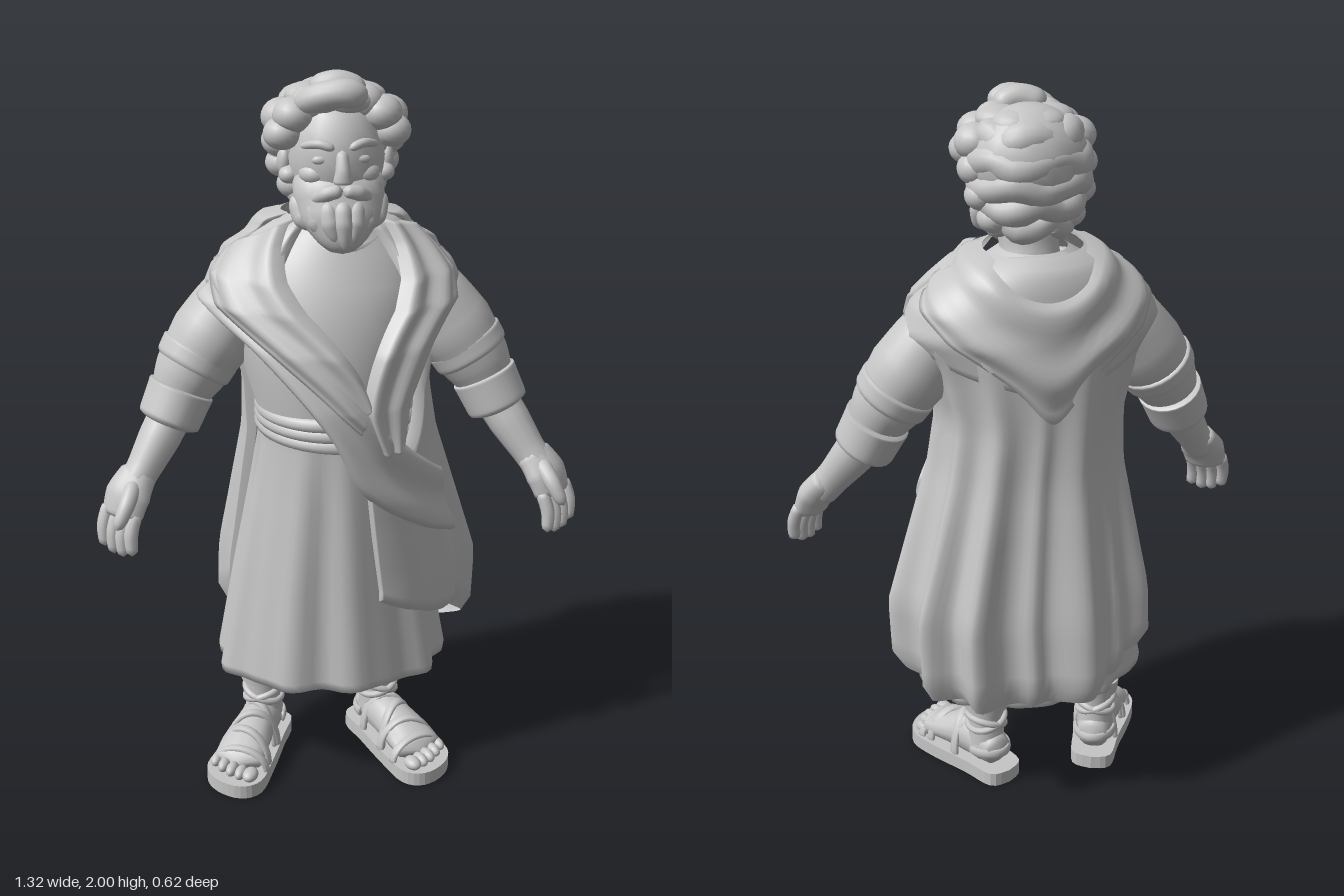
import * as THREE from 'three';

const V = (x, y, z) => new THREE.Vector3(x, y, z);
const stone = new THREE.MeshStandardMaterial({ color: 0xc6c6c6, side: THREE.DoubleSide });
stone.name = 'light grey';
const RAD = Math.PI / 180;

function add(parent, name, geo) {
  const m = new THREE.Mesh(geo, stone);
  m.name = name;
  parent.add(m);
  return m;
}

// Skin a list of point rows; closed rows wrap around
function skin(rows, closed) {
  const n = rows[0].length, idx = [];
  for (let i = 0; i < rows.length - 1; i++)
    for (let j = 0; j < (closed ? n : n - 1); j++) {
      const k = (j + 1) % n, a = i * n + j, b = i * n + k;
      idx.push(a, b, a + n, b, b + n, a + n);
    }
  const g = new THREE.BufferGeometry().setFromPoints(rows.flat());
  g.setIndex(idx);
  g.computeVertexNormals();
  return g;
}

// Sweep an ellipse along points [x, y, z, ru, rv]
function limb(parent, name, pts, { ref = V(0, 0, 1), round = 0, seg = 16, sides = 14 } = {}) {
  const curve = new THREE.CatmullRomCurve3(pts.map(p => V(p[0], p[1], p[2])));
  const rows = [];
  for (let i = 0; i <= seg; i++) {
    const t = i / seg, f = t * (pts.length - 1), k = Math.min(Math.floor(f), pts.length - 2);
    const mix = c => THREE.MathUtils.lerp(pts[k][c] ?? pts[k][3], pts[k + 1][c] ?? pts[k + 1][3], f - k);
    const c = curve.getPoint(t), d = curve.getTangent(t);
    const u = ref.clone().cross(d).normalize(), v = d.clone().cross(u);
    const e = round ? Math.max(0, (Math.abs(t - 0.5) * 2 - 1 + round) / round) : 0;
    const s = Math.sqrt(Math.max(0, 1 - e * e));
    const ring = r => Array.from({ length: sides }, (_, j) => {
      const a = j / sides * Math.PI * 2;
      return c.clone().addScaledVector(u, Math.cos(a) * mix(3) * r).addScaledVector(v, Math.sin(a) * mix(4) * r);
    });
    if (i === 0) rows.push(ring(0));
    rows.push(ring(s));
    if (i === seg) rows.push(ring(0));
  }
  return add(parent, name, skin(rows, true));
}

function ball(parent, name, x, y, z, rx, ry = rx, rz = rx) {
  const m = add(parent, name, new THREE.SphereGeometry(1, 18, 12));
  m.position.set(x, y, z);
  m.scale.set(rx, ry, rz);
  return m;
}

// Cloth envelope: y, centre x, centre z, half width, half depth
const CLOTH = [
  [1.64, 0, -0.02, 0.11, 0.12], [1.55, 0, -0.025, 0.22, 0.165], [1.47, 0, -0.01, 0.31, 0.195],
  [1.4, 0, 0, 0.34, 0.222], [1.3, 0, 0.02, 0.285, 0.245], [1.15, 0, 0.03, 0.24, 0.25],
  [1, 0.01, 0.03, 0.245, 0.245], [0.8, 0.02, 0.02, 0.285, 0.247], [0.6, 0.03, 0.01, 0.325, 0.252],
  [0.33, 0.02, 0.01, 0.325, 0.26]];
function onCloth(deg, y, off) {
  let i = 0;
  while (i < CLOTH.length - 2 && y < CLOTH[i + 1][0]) i++;
  const A = CLOTH[i], B = CLOTH[i + 1], t = THREE.MathUtils.clamp((y - A[0]) / (B[0] - A[0]), 0, 1);
  const [, cx, cz, rx, rz] = A.map((a, k) => a + (B[k] - a) * t), a = deg * RAD;
  return V(cx + (rx + off) * Math.sin(a), y, cz + (rz + off) * Math.cos(a));
}

// Cloth between two edges given as [angle, height]; its rim rolls inwards
function drape(parent, name, upper, lower, off, fold = () => 0, n = 60, m = 16) {
  const curve = e => new THREE.SplineCurve(e.map(p => new THREE.Vector2(...p)));
  const A = curve(upper), B = curve(lower), rows = [];
  for (let i = 0; i <= m; i++) {
    const t = i / m, row = [];
    for (let j = 0; j <= n; j++) {
      const s = j / n, p = A.getPoint(s).lerp(B.getPoint(s), t);
      const rim = i === 0 || i === m || j === 0 || j === n;
      row.push(onCloth(p.x, p.y, off + fold(s, t, p.x) - (rim ? 0.026 : 0)));
    }
    rows.push(row);
  }
  add(parent, name, skin(rows, false));
}

function buildTunic(g) {
  // y, centre z, half width, half depth, fold depth
  const prof = [[0.5, 0.04, 0.01, 0.01, 0], [0.42, 0.04, 0.27, 0.2, 0], [0.31, 0.04, 0.295, 0.215, 0.01],
    [0.305, 0.04, 0.315, 0.228, 0.012], [0.33, 0.04, 0.318, 0.23, 0.012], [0.6, 0.04, 0.27, 0.215, 0.01],
    [0.85, 0.045, 0.225, 0.205, 0.006], [1.0, 0.045, 0.2, 0.195, 0.003], [1.1, 0.045, 0.205, 0.195, 0],
    [1.2, 0.04, 0.235, 0.215, 0], [1.35, 0.015, 0.26, 0.22, 0], [1.45, 0, 0.255, 0.195, 0],
    [1.52, -0.01, 0.2, 0.16, 0], [1.57, -0.01, 0.14, 0.13, 0], [1.6, 0, 0.09, 0.09, 0]];
  const rows = prof.map(([y, cz, rx, rz, f]) => Array.from({ length: 72 }, (_, j) => {
    const a = j / 72 * Math.PI * 2, w = f * (Math.sin(9 * a) + 0.5 * Math.sin(14 * a + 1));
    return V(-0.01 + (rx + w) * Math.sin(a), y, cz + (rz + w) * Math.cos(a));
  }));
  add(g, 'tunic', skin(rows, true));
  // Wrapped belt
  for (let i = 0; i < 3; i++) {
    const b = add(g, 'belt', new THREE.TorusGeometry(0.2, 0.02, 8, 48));
    b.rotation.set(Math.PI / 2, 0.04 * (i - 1), 0);
    b.position.set(0, 1.035 + i * 0.032, 0.045);
  }
  const c = add(g, 'neckline', new THREE.TorusGeometry(0.115, 0.018, 8, 36));
  c.rotation.x = Math.PI / 2 + 0.2;
  c.position.set(0, 1.56, 0.01);
}

// Hanging cloak folds: angle, spread, depth
const FOLDS = [[60, 9, 0.02], [90, 8, 0.055], [122, 7, 0.06], [148, 8, 0.065], [174, 5, 0.02],
  [199, 12, 0.07], [224, 5, 0.025], [246, 7, 0.055]];

function buildMantle(g) {
  const deep = (s, t, a) => Math.min(1, t * 1.25) * (FOLDS.reduce((sum, [c, w, d]) =>
    sum + d * Math.exp(-(((a - c) / w) ** 2)), 0) - 0.01);
  drape(g, 'cloak',
    [[10, 1.05], [45, 1.02], [80, 1.25], [115, 1.48], [180, 1.52], [245, 1.48], [264, 1.35]],
    [[13, 0.56], [45, 0.49], [75, 0.46], [105, 0.36], [180, 0.345], [235, 0.39], [264, 0.52]], 0.008, deep, 160, 24);
  drape(g, 'shoulderWrap', [[35, 1.62], [100, 1.61], [180, 1.61], [260, 1.61], [325, 1.62]],
    [[30, 1.3], [80, 1.42], [130, 1.3], [180, 1.25], [230, 1.3], [280, 1.42], [330, 1.3]], 0.014);
  const ridge = k => (s, t) => 0.008 * Math.sin(t * Math.PI * k);
  drape(g, 'hoodFold', [[65, 1.62], [130, 1.6], [180, 1.52], [230, 1.6], [295, 1.62]],
    [[85, 1.5], [125, 1.42], [160, 1.27], [180, 1.17], [200, 1.27], [235, 1.42], [275, 1.5]], 0.024, ridge(4));
  drape(g, 'sash', [[-75, 1.5], [-40, 1.4], [-5, 1.24], [30, 1.07], [58, 0.96], [70, 0.92]],
    [[-88, 1.4], [-50, 1.3], [-14, 1.1], [8, 0.9], [42, 0.77], [70, 0.7]], 0.022, ridge(3));
  drape(g, 'rightFold', [[-48, 1.62], [-20, 1.43], [7, 1.25], [14, 1.17]],
    [[-95, 1.51], [-68, 1.41], [-24, 1.23], [8, 1.08]], 0.03, ridge(4));
  drape(g, 'leftFold', [[46, 1.61], [23, 1.4], [11, 1.18], [20, 1.02]],
    [[88, 1.57], [62, 1.4], [46, 1.2], [34, 1.02]], 0.034, ridge(4));
}

function buildArm(g, s) {
  const side = s > 0 ? 'left' : 'right';
  const part = (name, pts, o) => limb(g, side + name, pts.map(([x, ...r]) => [x * s, ...r]), o);
  part('Sleeve', [[0.17, 1.45, -0.01, 0.08], [0.26, 1.365, 0, 0.105], [0.33, 1.275, 0.01, 0.112],
    [0.393, 1.18, 0.025, 0.095], [0.425, 1.12, 0.035, 0.075]], { sides: 24 });
  part('SleeveFold', [[0.353, 1.245, 0.01, 0.112], [0.393, 1.18, 0.025, 0.104]], { round: 0.6, sides: 24 });
  part('Cuff', [[0.412, 1.145, 0.03, 0.092, 0.1], [0.458, 1.045, 0.055, 0.084, 0.094]], { round: 0.3, sides: 24 });
  part('Forearm', [[0.43, 1.1, 0.04, 0.06], [0.48, 1.02, 0.08, 0.058], [0.525, 0.95, 0.115, 0.048], [0.56, 0.9, 0.14, 0.046]]);
  // Open hand with the thumb to the front
  const across = V(0.78 * s, 0.1, -0.6).normalize(), ref = V(0.6 * s, 0, 0.78);
  part('Palm', [[0.53, 0.95, 0.115, 0.048, 0.042], [0.57, 0.89, 0.15, 0.066, 0.042], [0.592, 0.825, 0.17, 0.06, 0.032]],
    { ref, round: 0.25 });
  for (let i = 0; i < 4; i++) {
    const o = (i - 1.5) * 0.03, bend = i === 0 || i === 3 ? 0.012 : 0;
    const at = (x, y, z, r) => [x * s + across.x * o, y + across.y * o + bend, z + across.z * o, r];
    limb(g, side + 'Finger', [at(0.585, 0.85, 0.162, 0.019), at(0.603, 0.79, 0.18, 0.019), at(0.602, 0.73, 0.19, 0.016)],
      { round: 0.3, seg: 10, sides: 10 });
  }
  part('Thumb', [[0.55, 0.93, 0.15, 0.024], [0.575, 0.885, 0.21, 0.022], [0.605, 0.825, 0.235, 0.016]], { round: 0.4 });
}

function buildFoot(root, s) {
  const g = new THREE.Group(), up = V(0, 1, 0);
  g.name = s > 0 ? 'leftFoot' : 'rightFoot';
  g.position.set(s > 0 ? 0.172 : -0.245, 0, 0.095);
  g.rotation.y = s * 0.42;
  root.add(g);
  // Sandal sole
  const outline = [[0, -0.205], [0.055, -0.185], [0.068, -0.08], [0.09, 0.05], [0.09, 0.14], [0.04, 0.195],
    [-0.035, 0.21], [-0.082, 0.165], [-0.08, 0.05], [-0.068, -0.08], [-0.058, -0.18]];
  const edge = new THREE.SplineCurve([...outline, outline[0]].map(([x, z]) => new THREE.Vector2(x * s, -z)));
  const sole = add(g, 'sole', new THREE.ExtrudeGeometry(new THREE.Shape(edge.getPoints(44)), { depth: 0.04, bevelEnabled: false }));
  sole.rotation.x = -Math.PI / 2;
  limb(g, 'foot', [[0, 0.075, -0.17, 0.04, 0.04], [0, 0.09, -0.11, 0.054, 0.06], [0, 0.09, -0.03, 0.058, 0.062],
    [0.005 * s, 0.075, 0.06, 0.07, 0.045], [0.005 * s, 0.058, 0.14, 0.074, 0.025]], { ref: up, round: 0.15 });
  for (let i = 0; i < 5; i++)
    ball(g, 'toe', s * (-0.05 + i * 0.029), 0.056, 0.168 - i * i * 0.003, i ? 0.016 : 0.022, 0.018, 0.03);
  // Straps over the instep
  for (const [z, w, h, skew] of [[0.11, 0.08, 0.062, 0], [0.055, 0.074, 0.092, 0.02], [0, 0.066, 0.114, -0.03], [-0.05, 0.06, 0.12, 0.03]])
    limb(g, 'strap', Array.from({ length: 9 }, (_, i) => {
      const a = i / 8 * Math.PI;
      return [w * Math.cos(a), 0.035 + h * Math.sin(a), z + skew * Math.cos(a), 0.008, 0.015];
    }), { seg: 20, sides: 8 });
  const heel = Array.from({ length: 9 }, (_, i) => {
    const a = i / 8 * Math.PI;
    return [0.058 * Math.cos(a), 0.085, -0.1 - 0.074 * Math.sin(a), 0.007, 0.015];
  });
  limb(g, 'heelStrap', heel, { ref: up, seg: 20, sides: 8 });
  // Lower leg and ankle bands
  limb(g, 'leg', [[0, 0.08, -0.1, 0.055, 0.058], [0, 0.17, -0.1, 0.05], [0, 0.28, -0.1, 0.056], [0, 0.46, -0.1, 0.065]]);
  const band = add(g, 'ankleBand', new THREE.CylinderGeometry(0.068, 0.064, 0.04, 24));
  band.position.set(0, 0.235, -0.1);
  for (const k of [-1, 1]) {
    const w = add(g, 'ankleStrap', new THREE.TorusGeometry(0.055, 0.01, 8, 28));
    w.rotation.set(Math.PI / 2, k * 0.35, 0);
    w.position.set(0, 0.17, -0.1);
  }
}

function buildHead(root) {
  const g = new THREE.Group(), up = V(0, 1, 0);
  g.name = 'head';
  root.add(g);
  limb(g, 'neck', [[0, 1.5, -0.01, 0.09], [0, 1.6, 0.01, 0.08], [0, 1.7, 0.03, 0.085]]);
  ball(g, 'skull', 0, 1.78, 0.06, 0.128, 0.165, 0.135);
  limb(g, 'nose', [[0, 1.82, 0.19, 0.014], [0, 1.77, 0.208, 0.02], [0, 1.735, 0.21, 0.028, 0.022]], { round: 0.3 });
  // Full beard with hanging locks
  limb(g, 'beard', [[0, 1.76, 0.1, 0.116, 0.06], [0, 1.69, 0.13, 0.118, 0.078], [0, 1.63, 0.165, 0.1, 0.068],
    [0, 1.585, 0.19, 0.062, 0.046], [0, 1.555, 0.205, 0.025, 0.022]], { round: 0.2, sides: 24 });
  for (let i = -3; i <= 3; i++)
    limb(g, 'beardLock', [[i * 0.037, 1.695, 0.2 - i * i * 0.009, 0.022], [i * 0.031, 1.635, 0.215 - i * i * 0.008, 0.027],
      [i * 0.019 + 0.006, 1.565 + Math.abs(i) * 0.016, 0.222 - i * i * 0.006, 0.012]], { round: 0.5 });
  for (const s of [-1, 1]) {
    limb(g, 'moustache', [[0, 1.722, 0.208, 0.016], [s * 0.04, 1.712, 0.2, 0.02], [s * 0.08, 1.685, 0.165, 0.013]], { ref: up, round: 0.4 });
    limb(g, 'eyebrow', [[s * 0.018, 1.822, 0.188, 0.011], [s * 0.055, 1.833, 0.175, 0.012], [s * 0.1, 1.82, 0.136, 0.009]], { ref: up, round: 0.5 });
    ball(g, 'eye', s * 0.05, 1.792, 0.172, 0.024, 0.013, 0.012);
    ball(g, 'cheek', s * 0.06, 1.75, 0.136, 0.044, 0.032, 0.042);
    ball(g, 'ear', s * 0.132, 1.765, 0.06, 0.02, 0.04, 0.028);
    // Side curls: x, y, z, radius
    for (const [x, y, z, r] of [[0.112, 1.892, 0.1, 0.054], [0.14, 1.845, 0.095, 0.05], [0.132, 1.875, 0.04, 0.058],
      [0.136, 1.81, 0.02, 0.052], [0.13, 1.745, -0.005, 0.046], [0.1, 1.685, -0.015, 0.046],
      [0.068, 1.92, 0.09, 0.052], [0.122, 1.735, 0.085, 0.028]])
      ball(g, 'sideCurl', s * x, y, z, r, r * 0.85, r);
  }
  // Hair cap, rolls round the back and crown locks
  ball(g, 'hairCap', 0, 1.83, 0.01, 0.158, 0.142, 0.14);
  for (const [y, w, r] of [[1.89, 0.1, 0.05], [1.835, 0.126, 0.05], [1.775, 0.128, 0.048], [1.72, 0.114, 0.045], [1.667, 0.088, 0.04]])
    limb(g, 'hairRoll', Array.from({ length: 9 }, (_, i) => {
      const a = (75 + i * 26.25) * RAD;
      return [w * Math.sin(a), y + 0.012 * Math.sin(i * 2.1 + y * 40), 0.01 + w * 0.78 * Math.cos(a), r * (0.88 + 0.12 * Math.cos(i * 2))];
    }), { ref: up, round: 0.2, seg: 28 });
  for (let i = 0; i < 6; i++) {
    const a = i * 1.05 + 0.4;
    ball(g, 'crownCurl', 0.065 * Math.sin(a), 1.928, 0.045 + 0.065 * Math.cos(a), 0.065, 0.034, 0.062);
  }
  limb(g, 'forelock', [[-0.11, 1.915, 0.11, 0.028], [-0.05, 1.945, 0.145, 0.036], [0.02, 1.955, 0.16, 0.037],
    [0.065, 1.935, 0.145, 0.028]], { ref: up, round: 0.4 });
  limb(g, 'forelock', [[-0.07, 1.945, 0.08, 0.036], [0, 1.965, 0.1, 0.037], [0.07, 1.94, 0.1, 0.036]], { ref: up, round: 0.5 });
}

export function createModel() {
  const g = new THREE.Group();
  g.name = 'robedMan';
  buildTunic(g);
  buildMantle(g);
  for (const s of [-1, 1]) {
    buildArm(g, s);
    buildFoot(g, s);
  }
  buildHead(g);
  return g;
}
